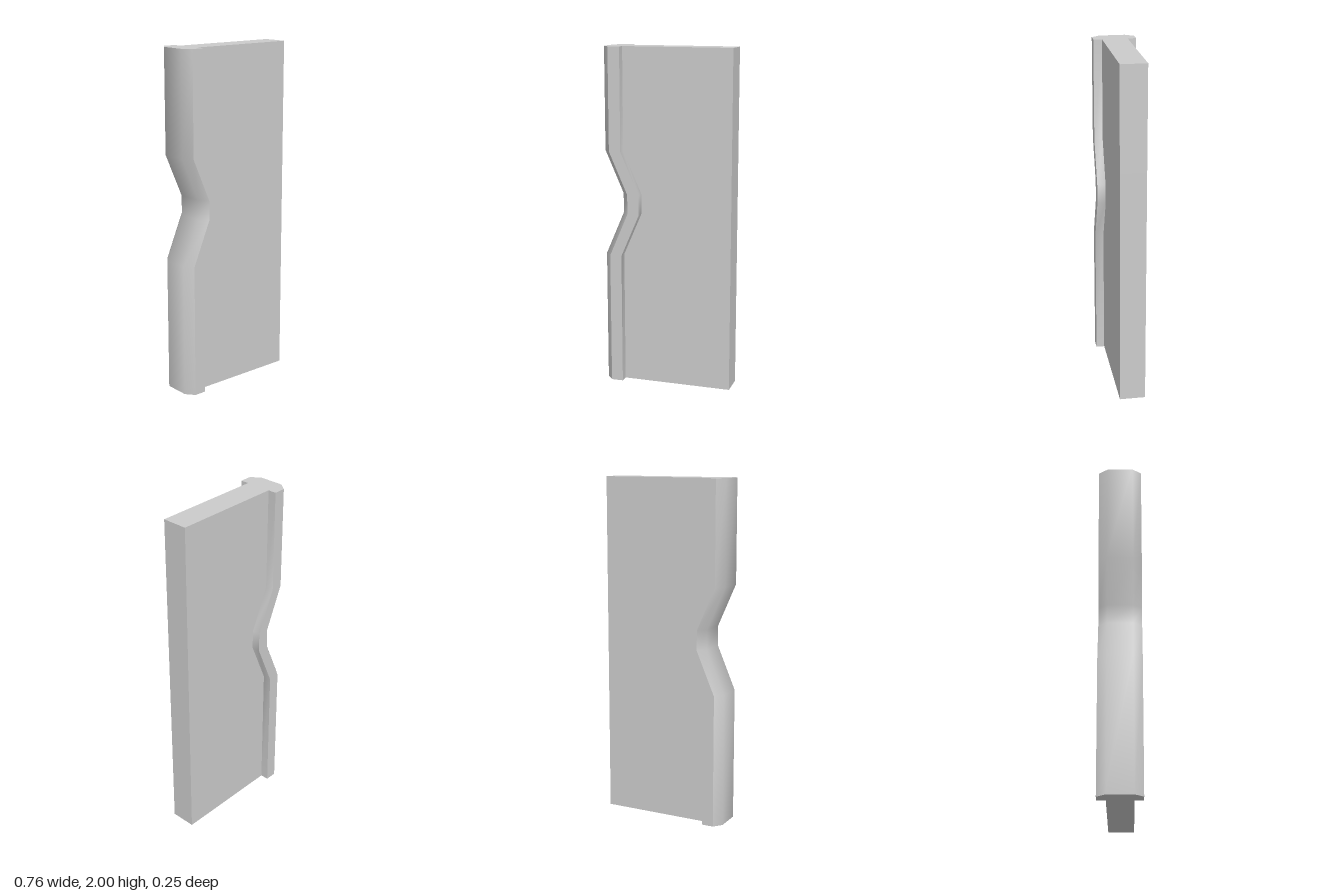
import * as THREE from 'three';
import { toCreasedNormals } from 'three/addons/utils/BufferGeometryUtils.js';

// Half outline of the cross-section: x, z, and whether the point follows the notch
const half = [
  [0.38, 0.075, 0],
  [-0.27, 0.075, 1],
  [-0.27, 0.125, 1],
  [-0.34, 0.125, 1],
  [-0.38, 0.075, 1],
];
const section = [...half, ...half.map(([x, z, m]) => [x, -z, m]).reverse()];

// Height and inward shift of the beaded edge at each level
const levels = [[0, 0], [0.78, 0], [1.035, 0.11], [1.15, 0.11], [1.4, 0], [2, 0]];

function sweepSection() {
  const n = section.length;
  const positions = [];
  const index = [];
  for (const [y, shift] of levels) {
    for (const [x, z, moves] of section) positions.push(x + moves * shift, y, z);
  }

  // Side walls
  for (let l = 0; l < levels.length - 1; l++) {
    for (let i = 0; i < n; i++) {
      const a = l * n + i;
      const b = l * n + (i + 1) % n;
      index.push(a, a + n, b, b, a + n, b + n);
    }
  }

  // Bottom and top caps
  const outline = section.map(([x, z]) => new THREE.Vector2(x, z));
  const top = (levels.length - 1) * n;
  for (const [a, b, c] of THREE.ShapeUtils.triangulateShape(outline, [])) {
    index.push(a, b, c, top + a, top + c, top + b);
  }

  const geometry = new THREE.BufferGeometry();
  geometry.setAttribute('position', new THREE.Float32BufferAttribute(positions, 3));
  geometry.setIndex(index);
  // Rounded shading over the nose of the bead, sharp edges elsewhere
  return toCreasedNormals(geometry, THREE.MathUtils.degToRad(45));
}

export function createModel() {
  const group = new THREE.Group();
  group.name = 'notchedPanel';
  const material = new THREE.MeshStandardMaterial({ color: 0xcccccc });
  const panel = new THREE.Mesh(sweepSection(), material);
  panel.name = 'panelWithBeadedEdge';
  group.add(panel);
  return group;
}
